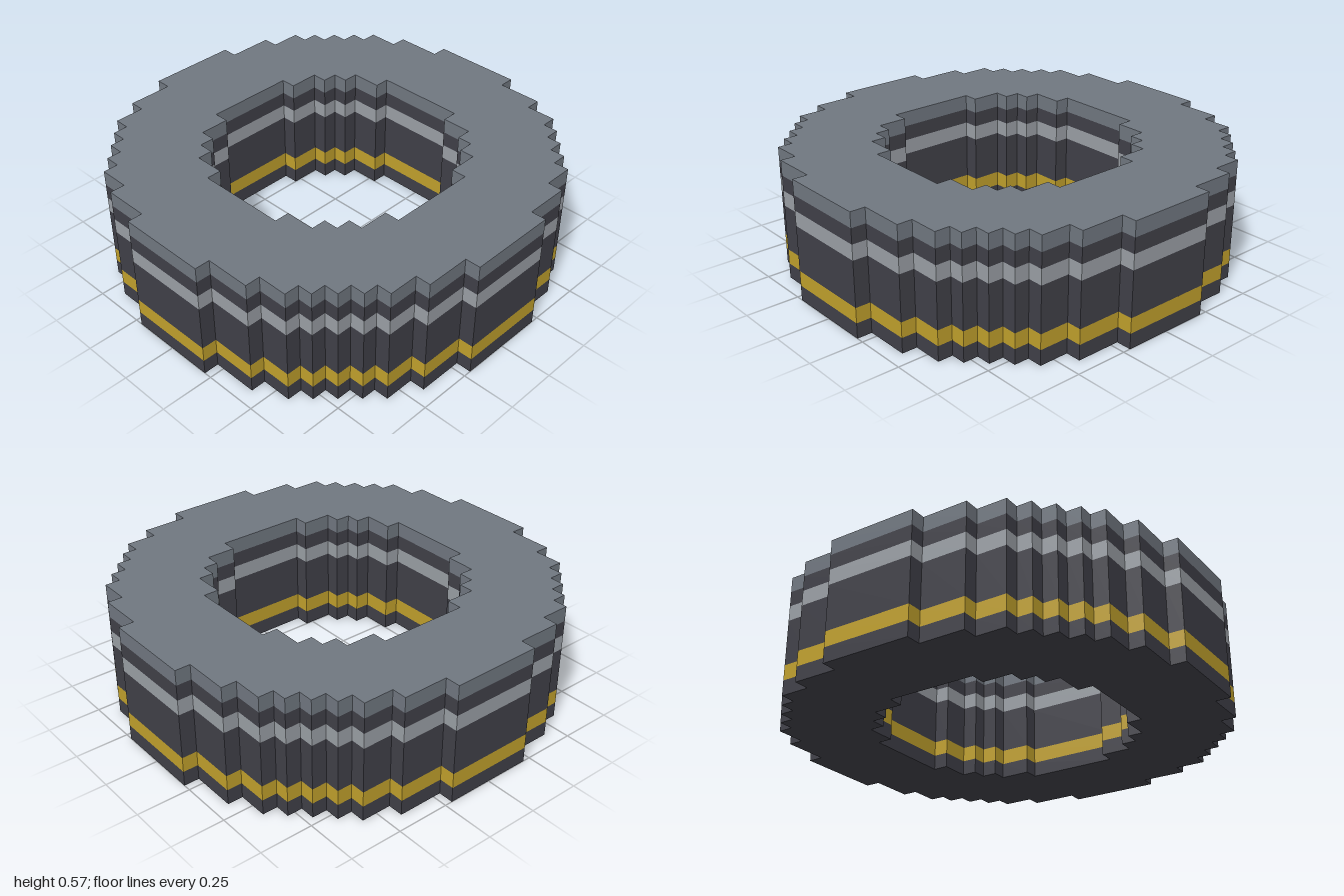
import * as THREE from 'three';

const U = 2 / 28; // one block

// Outer corners of the stepped rings in one quadrant, in blocks
const OUTER = [[14, 3], [13, 6], [12, 8], [11, 9], [10, 10], [9, 11], [8, 12], [6, 13], [3, 14]];
const INNER = [[8, 3], [7, 5], [6, 6], [5, 7], [3, 8]];

// Full stepped outline: add the notch between neighbouring corners, then turn the quadrant four times
function steppedOutline(corners) {
  const quadrant = [];
  corners.forEach(([x, y], i) => {
    if (i > 0) quadrant.push([x, corners[i - 1][1]]);
    quadrant.push([x, y]);
  });
  const points = [];
  for (let q = 0; q < 4; q++) {
    for (const [x, y] of quadrant) {
      const [px, py] = [[x, y], [-y, x], [-x, -y], [y, -x]][q];
      points.push(new THREE.Vector2(px * U, py * U));
    }
    // inner notch where two quadrants meet is a straight edge, so no extra point is needed
  }
  return points;
}

function flatMaterial(name, color) {
  const material = new THREE.MeshStandardMaterial({ color });
  material.name = name;
  return material;
}

export function createModel() {
  const group = new THREE.Group();
  group.name = 'blockRing';

  const charcoal = flatMaterial('charcoal', 0x404048);
  const gold = flatMaterial('gold', 0xc0a02c);
  const silver = flatMaterial('silver', 0x9a9fa5);
  const slate = flatMaterial('slate', 0x707780);

  const ring = new THREE.Shape(steppedOutline(OUTER));
  ring.holes.push(new THREE.Path(steppedOutline(INNER)));

  // Stacked bands: name, bottom and top in blocks, colour
  const bands = [
    ['baseBand', 0, 1, charcoal],
    ['goldStripe', 1, 2, gold],
    ['mainBand', 2, 5, charcoal],
    ['silverStripe', 5, 6, silver],
    ['upperBand', 6, 7, charcoal],
    ['topRim', 7, 8, slate],
  ];
  for (const [name, bottom, top, material] of bands) {
    const geometry = new THREE.ExtrudeGeometry(ring, { depth: (top - bottom) * U, bevelEnabled: false });
    geometry.rotateX(-Math.PI / 2);
    geometry.translate(0, bottom * U, 0);
    const mesh = new THREE.Mesh(geometry, material);
    mesh.name = name;
    group.add(mesh);
  }
  return group;
}
